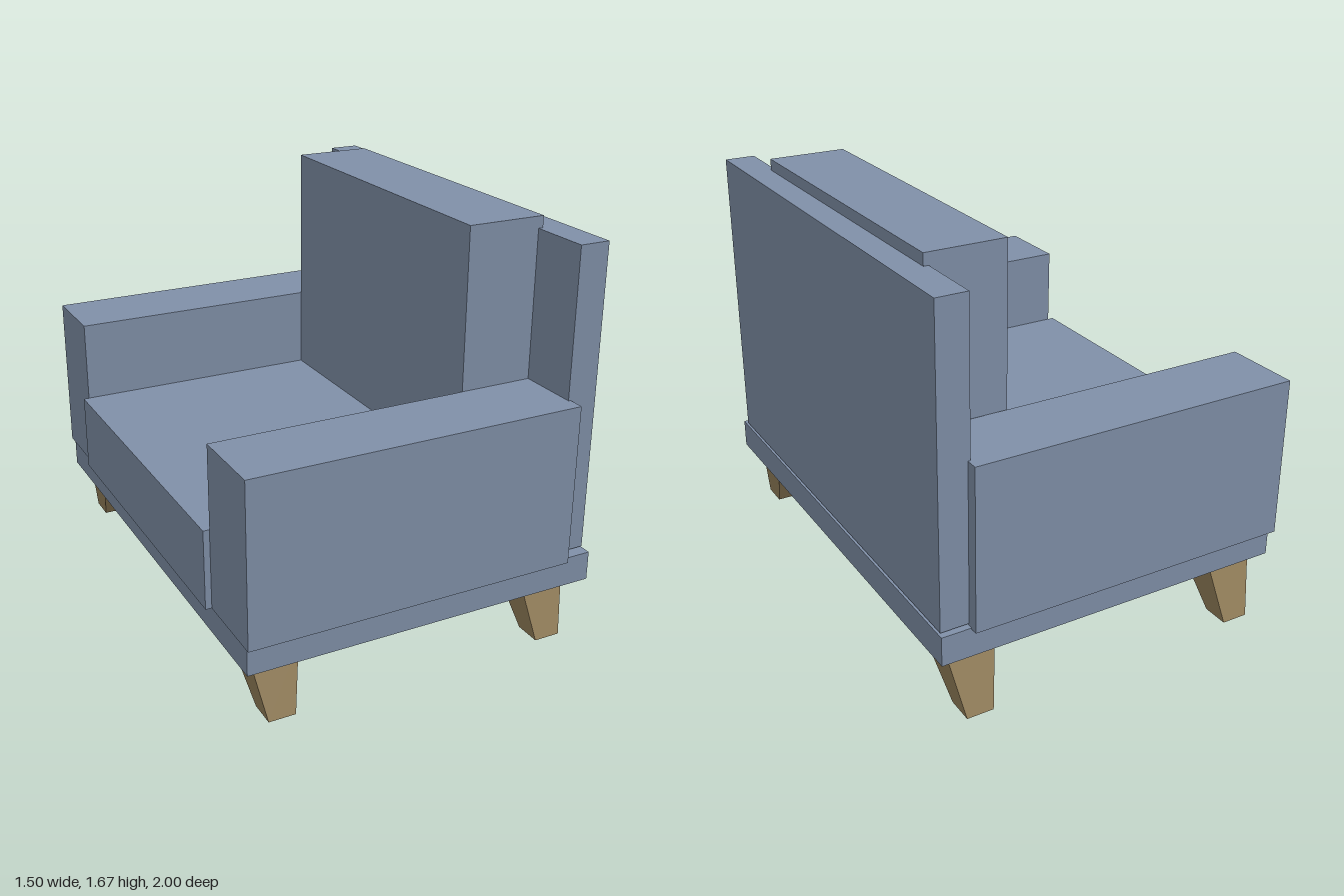
import * as THREE from 'three';

const fabric = new THREE.MeshStandardMaterial({ color: 0x8090a8 });
const wood = new THREE.MeshStandardMaterial({ color: 0x97825c, flatShading: true });

// Box given by its [min, max] range on each axis
function block(name, [x0, x1], [y0, y1], [z0, z1]) {
  const mesh = new THREE.Mesh(new THREE.BoxGeometry(x1 - x0, y1 - y0, z1 - z0), fabric);
  mesh.position.set((x0 + x1) / 2, (y0 + y1) / 2, (z0 + z1) / 2);
  mesh.name = name;
  return mesh;
}

// Tapered square leg whose foot is splayed sideways from its top
function leg(name, x, zTop, zFoot) {
  const height = 0.25, topSize = 0.2, footSize = 0.11;
  const geometry = new THREE.BoxGeometry(1, 1, 1);
  const p = geometry.attributes.position;
  for (let i = 0; i < p.count; i++) {
    const top = p.getY(i) > 0;
    const size = top ? topSize : footSize;
    p.setXYZ(i, x + p.getX(i) * size, top ? height : 0, (top ? zTop : zFoot) + p.getZ(i) * size);
  }
  geometry.computeVertexNormals();
  const mesh = new THREE.Mesh(geometry, wood);
  mesh.name = name;
  return mesh;
}

export function createModel() {
  const model = new THREE.Group();
  model.name = 'armchair';

  // Upholstered body; the seat opens towards -x
  model.add(
    block('base', [-0.722, 0.75], [0.25, 0.37], [-0.97, 0.975]),
    block('seatCushion', [-0.752, 0.6], [0.365, 0.687], [-0.68, 0.68]),
    block('backCushion', [0.317, 0.64], [0.687, 1.667], [-0.678, 0.682]),
    block('backrest', [0.62, 0.745], [0.378, 1.62], [-0.952, 0.935]),
    block('leftArm', [-0.728, 0.63], [0.365, 1.022], [-1, -0.682]),
    block('rightArm', [-0.728, 0.63], [0.365, 1.022], [0.682, 1]),
  );

  // Four splayed legs
  for (const [end, x] of [['front', -0.57], ['rear', 0.607]]) {
    model.add(leg(end + 'RightLeg', x, 0.77, 0.883), leg(end + 'LeftLeg', x, -0.82, -0.935));
  }
  return model;
}
